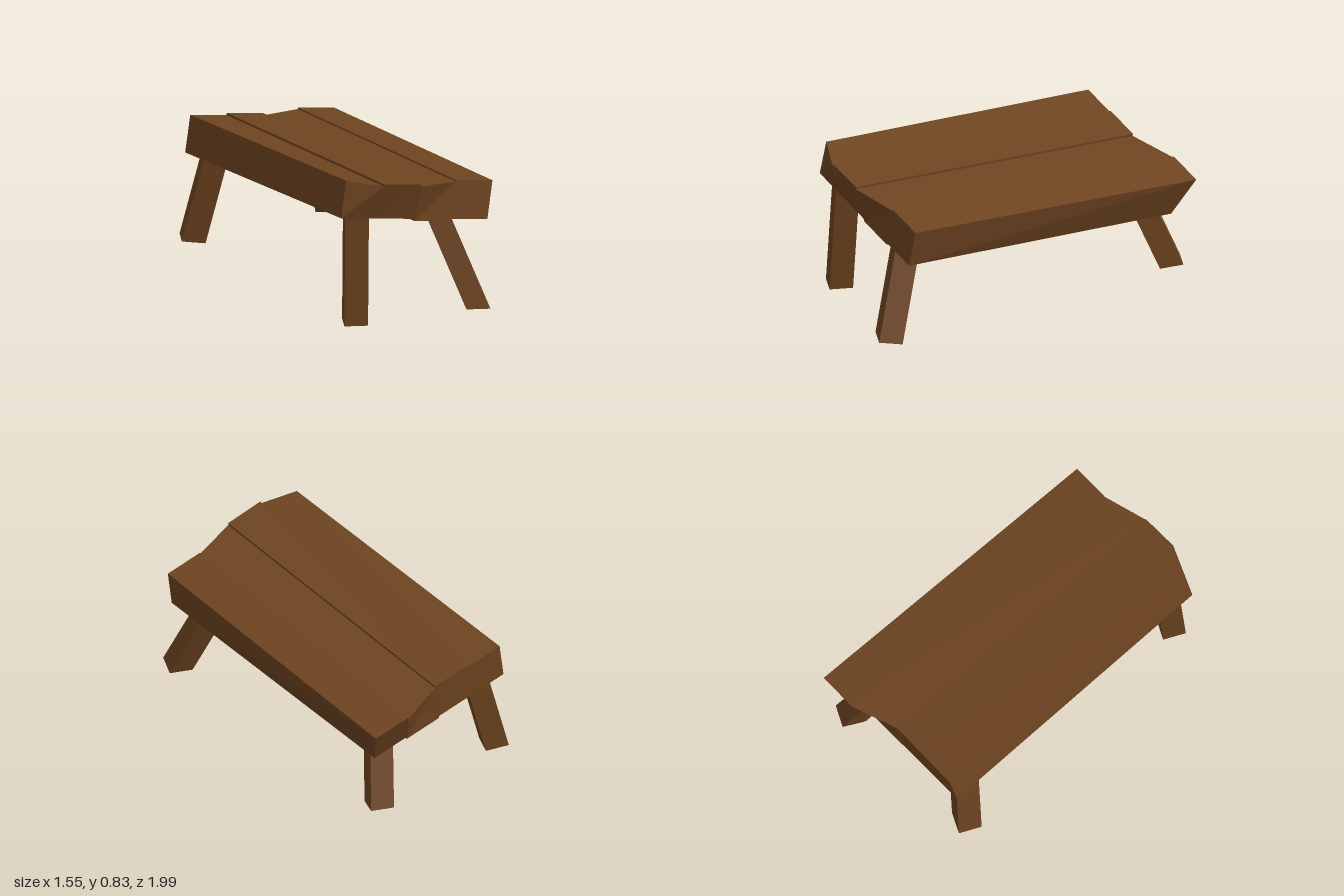
import * as THREE from 'three';

const wood = new THREE.MeshStandardMaterial({ color: 0x6e4420, flatShading: true });

// Six-sided block whose corners are placed by a rule; i, j, k are 0 or 1 along x, y, z
function block(name, corner) {
  const geometry = new THREE.BoxGeometry(1, 1, 1);
  const p = geometry.attributes.position;
  for (let n = 0; n < p.count; n++) {
    p.setXYZ(n, ...corner(p.getX(n) + 0.5, p.getY(n) + 0.5, p.getZ(n) + 0.5));
  }
  geometry.computeVertexNormals();
  const mesh = new THREE.Mesh(geometry, wood);
  mesh.name = name;
  return mesh;
}

export function createModel() {
  const model = new THREE.Group();
  model.name = 'bench';

  // Sloping plank top: directions along, across and down through the thickness
  const origin = new THREE.Vector3(-0.72, 0.67, -0.55);
  const along = new THREE.Vector3(0.682, 0.16, 1.51);
  const across = new THREE.Vector3(0.203, -0.041, -0.088);
  const down = new THREE.Vector3(-0.03, -0.2, 0.03);

  // Uneven overhang of the upper edge at each seam, and height steps of each plank
  const frontShift = [0, 0.085, 0.08, 0, 0];
  const backShift = [0, 0, 0, -0.1, -0.1];
  const raise = [0, 0.012, 0, 0.008];
  const drop = [0, 0, 0.012, 0];

  const top = new THREE.Group();
  top.name = 'top';
  for (let plank = 0; plank < 4; plank++) {
    top.add(block('plank' + (plank + 1), (i, j, k) => {
      const v = origin.clone()
        .addScaledVector(across, plank + i)
        .addScaledVector(along, k);
      if (j) {
        v.y += raise[plank];
        v.z += (k ? frontShift : backShift)[plank + i];
      } else {
        v.add(down);
        v.y -= drop[plank];
      }
      return v.toArray();
    }));
  }
  model.add(top);

  // Splayed legs: foot centre, head centre, slope of the cut ends in x and z
  const legs = [
    ['backRightLeg', [-0.717, 0.008, -0.455], [-0.6, 0.48, -0.437], -0.12, 0],
    ['frontLeftLeg', [0.682, 0.01, 0.735], [0.475, 0.51, 0.605], 0, 0.16],
    ['frontRightLeg', [0.015, 0.008, 0.897], [0.023, 0.63, 0.862], 0, 0],
    ['backLeftLeg', [0.035, 0.008, -0.87], [-0.003, 0.37, -0.715], 0, -0.12],
  ];
  const width = 0.126;
  for (const [name, foot, head, slopeX, slopeZ] of legs) {
    model.add(block(name, (i, j, k) => {
      const [x, y, z] = j ? head : foot;
      const dx = (i - 0.5) * width, dz = (k - 0.5) * width;
      return [x + dx, y + dx * slopeX + dz * slopeZ, z + dz];
    }));
  }
  return model;
}
